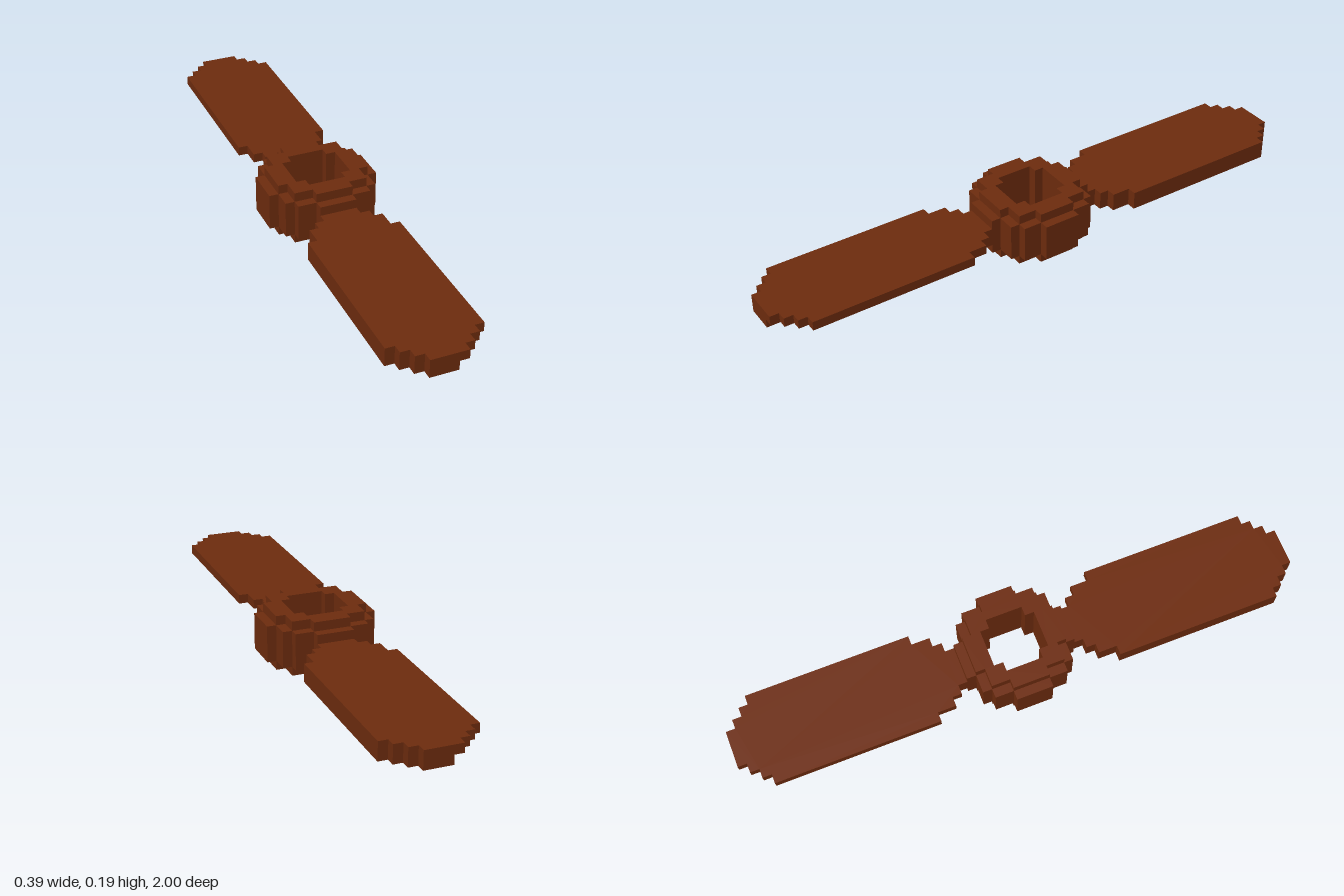
import * as THREE from 'three';

const U = 2 / 62; // size of one grid block

// Stepped outline from rows of [zStart, zEnd, xMin, xMax]
function steppedPoints(rows) {
  const right = [], left = [];
  for (const [z0, z1, a, b] of rows) {
    right.push([b, z0], [b, z1]);
    left.push([a, z0], [a, z1]);
  }
  return [...right, ...left.reverse()].map(([x, z]) => new THREE.Vector2(x * U, z * U));
}

// Horizontal slab of a stepped outline between two heights
function slab(name, rows, y0, y1, material, holeRows) {
  const shape = new THREE.Shape(steppedPoints(rows));
  if (holeRows) shape.holes.push(new THREE.Path(steppedPoints(holeRows)));
  const geometry = new THREE.ExtrudeGeometry(shape, { depth: (y1 - y0) * U, bevelEnabled: false });
  geometry.rotateX(Math.PI / 2).translate(0, y1 * U, 0);
  const mesh = new THREE.Mesh(geometry, material);
  mesh.name = name;
  return mesh;
}

// Rows mirrored about x and z from [zStart, zEnd, halfWidth]
const symmetric = (half) => [
  ...half.slice().reverse().map(([a, b, w]) => [-b, -a, -w, w]),
  ...half.map(([a, b, w]) => [a, b, -w, w]),
];

export function createModel() {
  const model = new THREE.Group();
  model.name = 'propeller';
  const brown = new THREE.MeshStandardMaterial({ color: 0x6e2c0e });
  brown.name = 'brown';

  // Hollow hub: wide middle band with smaller end rims
  const bore = symmetric([[0, 2, 3], [2, 3, 2]]);
  const band = symmetric([[0, 2, 6], [2, 4, 5], [4, 5, 4], [5, 6, 2]]);
  const rim = symmetric([[0, 2, 5], [2, 4, 4], [4, 5, 2]]);
  const hub = new THREE.Group();
  hub.name = 'hub';
  hub.add(
    slab('lowerRim', rim, 0, 1, brown, bore),
    slab('hubBand', band, 1, 5, brown, bore),
    slab('upperRim', rim, 5, 6, brown, bore),
  );
  model.add(hub);

  // Blades: full top layer, with a thicker underside on one half
  const outline = [[6, 7, 2], [7, 8, 3], [8, 9, 4], [9, 10, 4], [10, 28, 5], [28, 29, 4], [29, 30, 3], [30, 31, 2]];
  const topRows = outline.map(([a, b, w]) => [a, b, -w, w]);
  const underRows = outline.map(([a, b, w]) => [a, b, -w, a < 9 ? 2 : 1]);
  ['frontBlade', 'backBlade'].forEach((name, i) => {
    const blade = new THREE.Group();
    blade.name = name;
    blade.add(
      slab('bladeTop', topRows, 3, 4, brown),
      slab('bladeUnderside', underRows, 2, 3, brown),
    );
    blade.rotation.y = i * Math.PI;
    model.add(blade);
  });

  return model;
}
